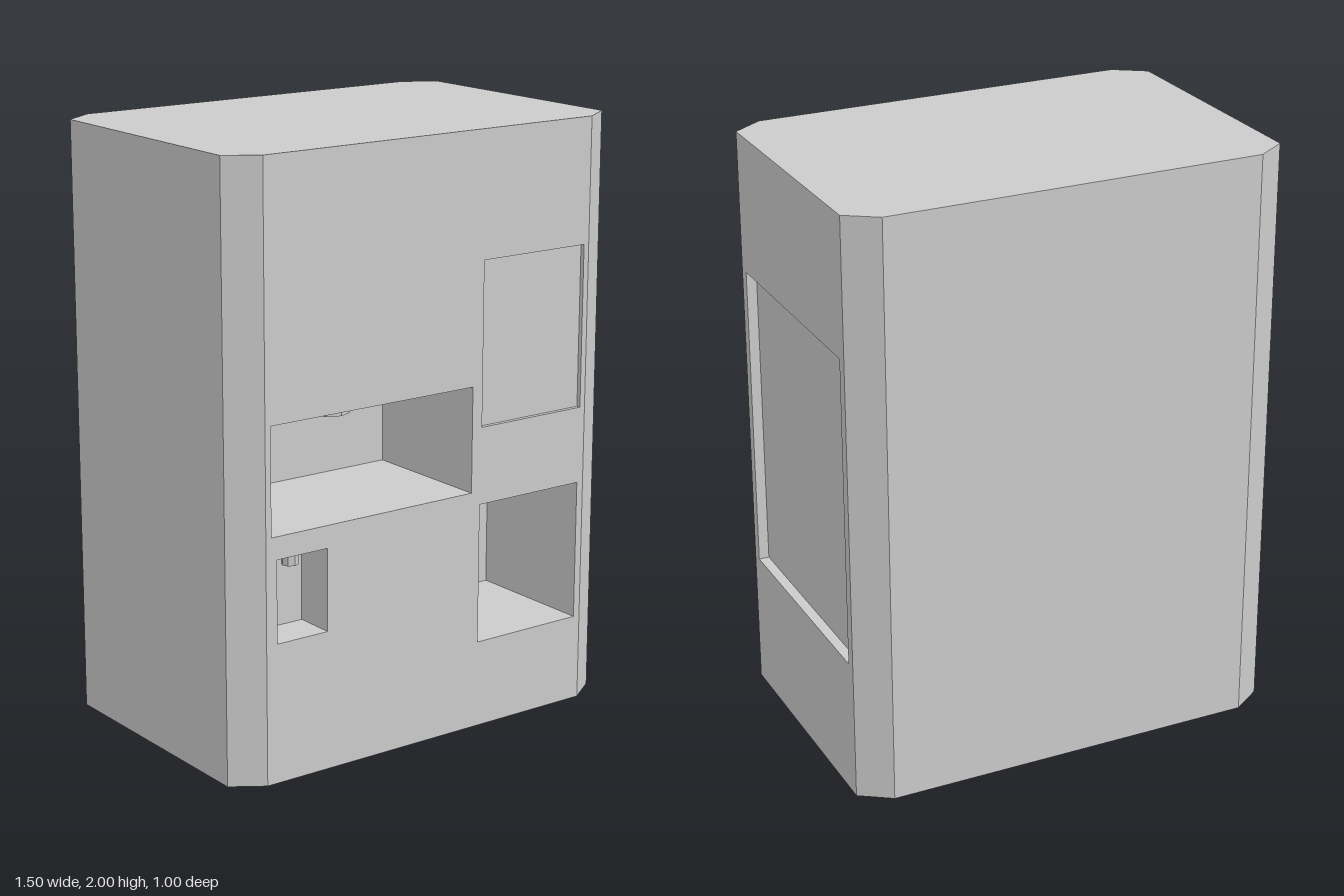
import * as THREE from 'three';

const material = new THREE.MeshStandardMaterial({ color: 0xcccccc, flatShading: true });
const HEIGHT = 2;

// Chamfered footprint as (x, z), running counter-clockwise seen from above
const FOOTPRINT = [
  [-0.645, 0.5], [0.645, 0.5], [0.75, 0.43], [0.75, -0.43],
  [0.645, -0.5], [-0.645, -0.5], [-0.75, -0.43], [-0.75, 0.43],
];

// Pockets in wall coordinates: x0..x1, y0..y1, depth, optional spout radius, length and x
const FRONT_POCKETS = [
  { name: 'dispensingBay', x0: -0.624, x1: 0.165, y0: 0.815, y1: 1.17, depth: 0.477, spout: [0.066, 0.07, -0.23] },
  { name: 'smallTapBay', x0: -0.604, x1: -0.412, y0: 0.465, y1: 0.74, depth: 0.14, spout: [0.028, 0.05, -0.507] },
  { name: 'collectionBay', x0: 0.2, x1: 0.62, y0: 0.295, y1: 0.77, depth: 0.467 },
  { name: 'displayPanel', x0: 0.205, x1: 0.625, y0: 1.03, y1: 1.58, depth: 0.015 },
];
const SIDE_POCKETS = [
  { name: 'sidePanel', x0: -0.395, x1: 0.395, y0: 0.475, y1: 1.53, depth: 0.035 },
];

function add(parent, name, geometry) {
  const mesh = new THREE.Mesh(geometry, material);
  mesh.name = name;
  parent.add(mesh);
  return mesh;
}

function rectangle(Type, x0, y0, x1, y1) {
  return new Type([[x0, y0], [x1, y0], [x1, y1], [x0, y1]].map(p => new THREE.Vector2(...p)));
}

// Box turned inside out, with its front (+z) face left open
function pocketGeometry(w, h, d) {
  const box = new THREE.BoxGeometry(w, h, d);
  const index = [...box.index.array];
  index.splice(24, 6);
  box.setIndex(index.reverse());
  box.clearGroups();
  const normal = box.attributes.normal;
  for (let i = 0; i < normal.array.length; i++) normal.array[i] *= -1;
  return box;
}

// One upright wall between two footprint corners, with its pockets
function buildWall(name, [ax, az], [bx, bz], pockets) {
  const wall = new THREE.Group();
  wall.name = name;
  wall.position.set((ax + bx) / 2, 0, (az + bz) / 2);
  wall.rotation.y = Math.atan2(az - bz, bx - ax);
  const half = Math.hypot(bx - ax, bz - az) / 2;
  const face = rectangle(THREE.Shape, -half, 0, half, HEIGHT);
  for (const p of pockets) {
    face.holes.push(rectangle(THREE.Path, p.x0, p.y0, p.x1, p.y1));
    const pocket = add(wall, p.name, pocketGeometry(p.x1 - p.x0, p.y1 - p.y0, p.depth));
    pocket.position.set((p.x0 + p.x1) / 2, (p.y0 + p.y1) / 2, -p.depth / 2);
    // Eight-sided spout hanging from the pocket ceiling
    if (p.spout) {
      const [radius, length, x] = p.spout;
      const spout = add(wall, p.name + 'Spout', new THREE.CylinderGeometry(radius, radius, length, 8));
      spout.position.set(x, p.y1 - length / 2, -p.depth / 2);
    }
  }
  add(wall, name + 'Face', new THREE.ShapeGeometry(face));
  return wall;
}

export function createModel() {
  const model = new THREE.Group();
  model.name = 'vendingCabinet';

  // Walls around the cabinet
  const names = ['frontWall', 'frontLeftChamfer', 'leftWall', 'backLeftChamfer',
    'backWall', 'backRightChamfer', 'rightWall', 'frontRightChamfer'];
  const pockets = { frontWall: FRONT_POCKETS, leftWall: SIDE_POCKETS };
  names.forEach((name, i) => {
    model.add(buildWall(name, FOOTPRINT[i], FOOTPRINT[(i + 1) % 8], pockets[name] ?? []));
  });

  // Top and bottom plates (the footprint is symmetric, so one shape serves both)
  const plate = new THREE.Shape(FOOTPRINT.map(([x, z]) => new THREE.Vector2(x, -z)));
  const top = add(model, 'topPlate', new THREE.ShapeGeometry(plate));
  top.rotation.x = -Math.PI / 2;
  top.position.y = HEIGHT;
  const bottom = add(model, 'bottomPlate', new THREE.ShapeGeometry(plate));
  bottom.rotation.x = Math.PI / 2;

  return model;
}
